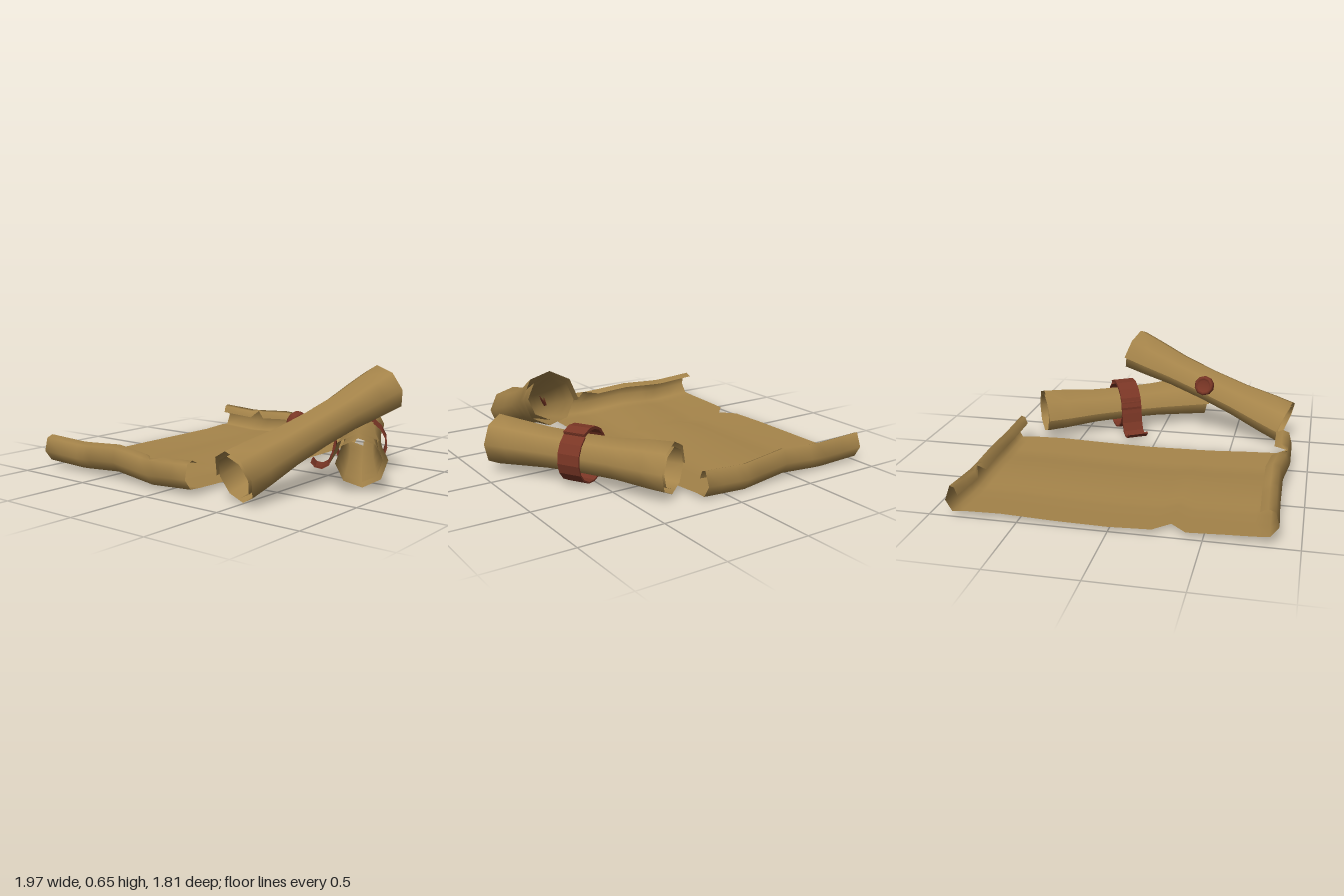
import * as THREE from 'three';

const paper = new THREE.MeshStandardMaterial({ color: 0xa5844a, side: THREE.DoubleSide });
paper.name = 'old paper';
const red = new THREE.MeshStandardMaterial({ color: 0x7a3625, side: THREE.DoubleSide });
red.name = 'dark red';

const V = (x, y, z) => new THREE.Vector3(x, y, z);

function addMesh(parent, name, geometry, material) {
  const mesh = new THREE.Mesh(geometry, material);
  mesh.name = name;
  parent.add(mesh);
  return mesh;
}

// piecewise linear lookup in a list of [key, value] pairs
function lookup(pairs, k) {
  for (let i = 1; i < pairs.length; i++) {
    const [k0, v0] = pairs[i - 1], [k1, v1] = pairs[i];
    if (k <= k1) return v0 + (v1 - v0) * (k - k0) / (k1 - k0);
  }
  return pairs[pairs.length - 1][1];
}

// smooth skin over rows of points
function skin(rows) {
  const n = rows[0].length, index = [];
  for (let i = 0; i < rows.length - 1; i++) {
    for (let j = 0; j < n - 1; j++) {
      const a = i * n + j, b = a + n;
      index.push(a, b, a + 1, b, b + 1, a + 1);
    }
  }
  const g = new THREE.BufferGeometry().setFromPoints(rows.flat());
  g.setIndex(index);
  g.computeVertexNormals();
  return g;
}

// rolled scroll between two points: a flared spiral with its seam on the left
function scroll(name, from, to, flare) {
  const group = new THREE.Group();
  group.name = name;
  const length = from.distanceTo(to), steps = 14;
  const rows = flare.map(([t, r]) => {
    const row = [];
    for (let k = 0; k <= steps; k++) {
      const a = Math.PI * (1.03 - k / 4);
      const f = r * (1.03 - 0.32 * k / steps);
      row.push(V(f * Math.cos(a), f * Math.sin(a), (t - 0.5) * length));
    }
    return row;
  });
  addMesh(group, name + 'Paper', skin(rows), paper);
  group.position.lerpVectors(from, to, 0.5);
  group.lookAt(to);
  return group;
}

// unrolled sheet with curled ends and torn notches
function openSheet() {
  const profile = [ // [z, y] from the back lip to the front lip
    [-0.83, 0.13], [-0.845, 0.175], [-0.87, 0.185], [-0.9, 0.1], [-0.865, 0.035], [-0.81, 0.04],
    [-0.6, 0.035], [-0.3, 0.03], [0, 0.028], [0.23, 0.03], [0.32, 0.03], [0.41, 0.032],
    [0.6, 0.04], [0.76, 0.045], [0.84, 0.05], [0.885, 0.11], [0.865, 0.19], [0.825, 0.205], [0.785, 0.185],
  ];
  const left = [[-0.9, -1], [-0.57, -0.97], [-0.1, -0.995], [0.23, -0.975], [0.32, -0.89], [0.41, -0.975], [0.9, -0.97]];
  const right = [[-0.9, 0.15], [-0.6, 0.185], [0, 0.17], [0.9, 0.19]];
  const wave = [[0, 0.008], [0.25, -0.006], [0.5, 0.012], [0.76, -0.014], [1, 0]];
  const sway = [[0, 0], [0.25, -0.012], [0.5, -0.016], [0.76, 0.012], [1, 0.008]];
  const columns = [0, 0.12, 0.23, 0.28, 0.33, 0.5, 0.69, 0.76, 0.82, 0.91, 1];
  const last = profile.length - 1;
  const rows = profile.map(([z, y], i) => columns.map((u) => {
    let pz = z, py = y;
    if (u === 0.76 && i >= last - 1) [pz, py] = i === last ? [0.855, 0.198] : [0.866, 0.192];
    if (u === 0.28 && i <= 1) [pz, py] = i === 0 ? [-0.855, 0.18] : [-0.862, 0.183];
    const x0 = lookup(left, z), x1 = lookup(right, z);
    const dz = lookup(sway, u) * (z > 0.7 ? 1 : z < -0.7 ? -0.8 : 0);
    return V(x0 + (x1 - x0) * u, py + lookup(wave, u), pz + dz);
  }));
  return skin(rows);
}

// ribbon wound around a scroll, ending in a loose tail on the ground
function ribbon() {
  const path = [];
  for (let k = 0; k <= 22; k++) {
    const a = Math.PI / 3 - k * Math.PI / 8;
    const r = 0.142 + 0.018 * k / 16;
    path.push(new THREE.Vector2(r * Math.cos(a), r * Math.sin(a)));
  }
  // continue from the upper left down to the ground
  const spiral = path.slice(0, 17);
  const over = [];
  for (let k = 0; k <= 6; k++) {
    const a = Math.PI * (1 / 3 + k / 9);
    over.push(new THREE.Vector2(0.163 * Math.cos(a), 0.163 * Math.sin(a)));
  }
  const tail = [[-0.168, -0.02], [-0.178, -0.08], [-0.2, -0.13], [-0.235, -0.148], [-0.27, -0.14], [-0.292, -0.115]]
    .map(([x, y]) => new THREE.Vector2(x, y));
  const strip = (points, thick) => {
    const side = points.map((p, i) => {
      const d = points[Math.min(i + 1, points.length - 1)].clone().sub(points[Math.max(i - 1, 0)]).normalize();
      return new THREE.Vector2(p.x - d.y * thick, p.y + d.x * thick);
    });
    const g = new THREE.ExtrudeGeometry(new THREE.Shape([...points, ...side.reverse()]),
      { depth: 0.135, bevelEnabled: false });
    return g.translate(0, 0, -0.0675);
  };
  return { band: strip(spiral, 0.01), tail: strip([...over, ...tail], 0.012) };
}

export function createModel() {
  const model = new THREE.Group();
  model.name = 'scrolls';

  addMesh(model, 'openSheet', openSheet(), paper);

  // scroll lying on the ground, tied with a ribbon
  const lying = scroll('lyingScroll', V(0.275, 0.18, -0.755), V(0.845, 0.18, 0.215),
    [[0, 0.155], [0.12, 0.148], [0.3, 0.128], [0.5, 0.124], [0.7, 0.13], [0.88, 0.148], [1, 0.16]]);
  const { band, tail } = ribbon();
  addMesh(lying, 'ribbonBand', band, red);
  addMesh(lying, 'ribbonTail', tail, red);
  model.add(lying);

  // scroll leaning on the other, closed with a wax seal
  const leaning = scroll('leaningScroll', V(0.73, 0.515, -0.23), V(0.475, 0.15, 0.83),
    [[0, 0.157], [0.12, 0.146], [0.3, 0.125], [0.5, 0.12], [0.7, 0.127], [0.88, 0.148], [1, 0.157]]);
  const sealProfile = [[0, 0], [0.055, 0], [0.064, 0.02], [0.064, 0.05], [0.055, 0.062], [0.042, 0.06], [0.036, 0.05], [0, 0.05]]
    .map(([r, y]) => new THREE.Vector2(r, y));
  const seal = addMesh(leaning, 'waxSeal', new THREE.LatheGeometry(sealProfile, 10), red);
  seal.position.set(-0.088, 0.03, 0.01);
  seal.rotation.z = Math.PI / 2 - 0.3;
  model.add(leaning);

  return model;
}
